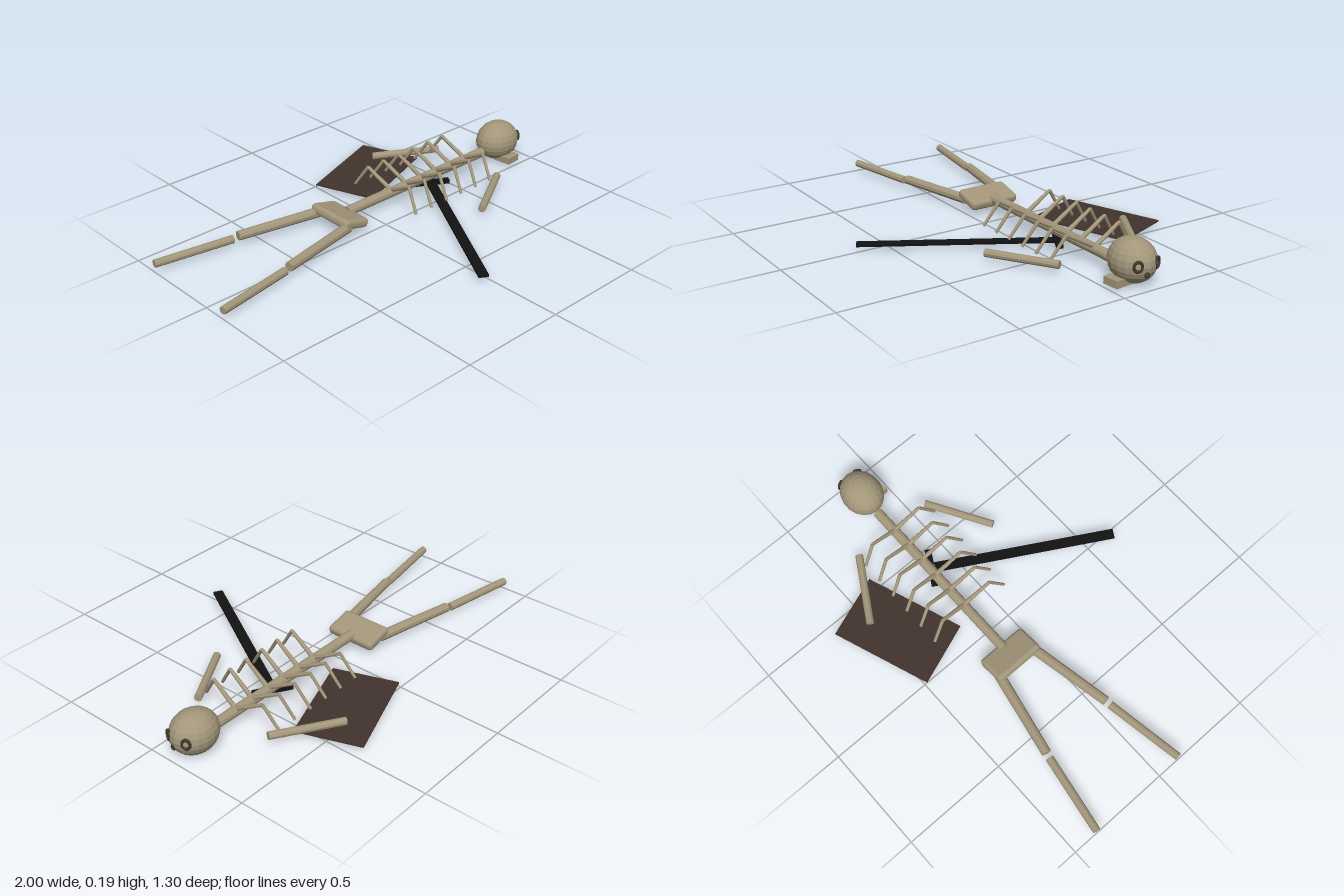
import * as THREE from 'three';
import { RoundedBoxGeometry } from 'three/addons/geometries/RoundedBoxGeometry.js';

export function createModel() {
  const root = new THREE.Group();
  root.name = 'fallenSkeleton';
  const mat = (name, color) => {
    const m = new THREE.MeshStandardMaterial({ color, flatShading: true });
    m.name = name;
    return m;
  };
  const bone = mat('bone', 0xa3967a);
  const socket = mat('socketBrown', 0x40382b);
  const cloth = mat('darkCloth', 0x42332c);
  const iron = mat('blackIron', 0x121212);

  const add = (name, geo, material, pos = [0, 0, 0], rot = [0, 0, 0]) => {
    const m = new THREE.Mesh(geo, material);
    m.name = name;
    m.position.set(...pos);
    m.rotation.set(...rot);
    root.add(m);
    return m;
  };

  // Straight bone between two points
  const rod = (name, a, b, r0, r1 = r0, sides = 10) => {
    const A = new THREE.Vector3(...a), B = new THREE.Vector3(...b);
    const dir = B.clone().sub(A);
    const m = add(name, new THREE.CylinderGeometry(r1, r0, dir.length(), sides), bone);
    m.position.copy(A).add(B).multiplyScalar(0.5);
    m.quaternion.setFromUnitVectors(new THREE.Vector3(0, 1, 0), dir.normalize());
    return m;
  };

  const midZ = -0.132;

  // Skull facing +x
  const skull = add('skull', new THREE.SphereGeometry(1, 18, 12), bone, [0.883, 0.102, midZ]);
  skull.scale.set(0.113, 0.096, 0.097);

  // Eye sockets and nose
  for (const s of [-1, 1]) {
    const eye = add('eyeSocket', new THREE.TorusGeometry(0.019, 0.007, 8, 16), socket,
      [0.977, 0.11, midZ + s * 0.049], [0, Math.PI / 2 - s * 0.45, 0]);
    eye.scale.set(0.9, 1.1, 1);
  }
  add('nose', new THREE.TorusGeometry(0.009, 0.005, 6, 10), socket,
    [0.989, 0.073, midZ + 0.012], [0, Math.PI / 2, 0]);

  // Dislodged jaw
  add('jaw', new THREE.BoxGeometry(0.078, 0.033, 0.095), bone, [0.882, 0.028, -0.066], [0, 0.1, 0]);

  // Spine and pelvis
  rod('spine', [-0.12, 0.066, midZ], [0.77, 0.066, midZ], 0.024, 0.024, 12);
  add('pelvis', new RoundedBoxGeometry(0.142, 0.045, 0.246, 3, 0.018), bone,
    [-0.165, 0.065, midZ], [0, 0, -0.25]);

  // Ribs: each side rises from the spine, then bends down to the tip
  for (let i = 0; i < 6; i++) {
    const x = 0.153 + i * 0.0985;
    for (const s of [-1, 1]) {
      const peak = [x - 0.017, 0.152, midZ + s * 0.138];
      rod('ribUpper', [x, 0.078, midZ], peak, 0.011, 0.008, 8);
      rod('ribLower', peak, [x - 0.037, 0.045, midZ + s * 0.208], 0.008, 0.007, 8);
    }
  }

  // Legs and arms
  for (const s of [-1, 1]) {
    const z = d => midZ + s * d;
    rod('thigh', [-0.2, 0.056, z(0.098)], [-0.603, 0.054, z(0.178)], 0.024, 0.022);
    rod('shin', [-0.627, 0.046, z(0.182)], [-0.997, 0.045, z(0.244)], 0.019, 0.018);
    rod('arm', [0.667, 0.048, z(0.2)], [0.377, 0.042, z(0.372)], 0.018);
  }

  // Cloth lying flat
  add('cloth', new THREE.BoxGeometry(0.482, 0.006, 0.305), cloth,
    [0.275, 0.023, -0.428], [0, 0.349, 0]);

  // Sword blade and crossguard
  const heading = -0.5236;
  add('swordBlade', new THREE.BoxGeometry(0.046, 0.01, 0.85), iron, [0.183, 0.031, 0.265], [0, heading, 0]);
  add('swordGuard', new THREE.BoxGeometry(0.18, 0.018, 0.03), iron, [0.403, 0.034, -0.118], [0, heading, 0]);

  return root;
}
